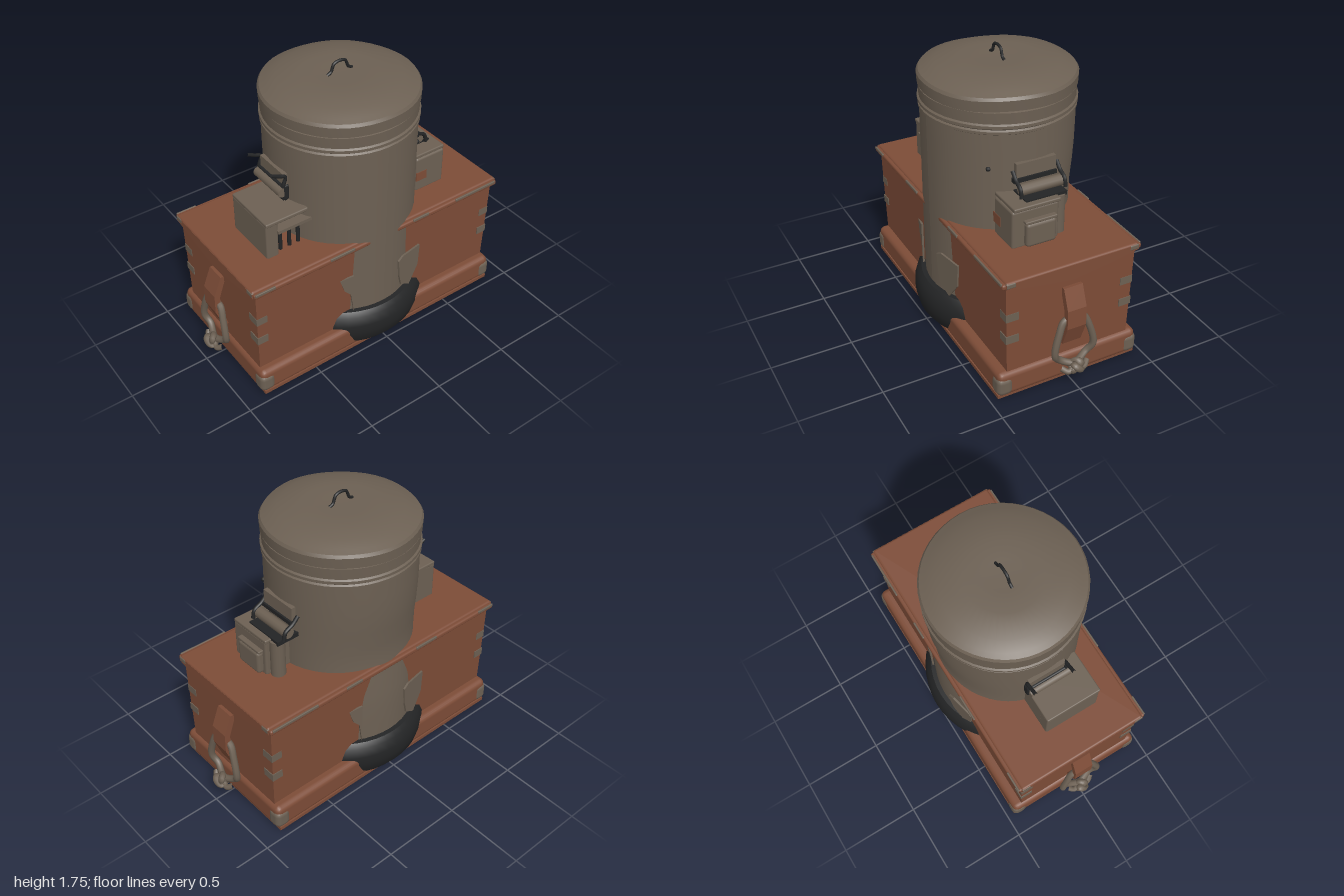
import * as THREE from 'three';
import { toCreasedNormals } from 'three/addons/utils/BufferGeometryUtils.js';
import { RoundedBoxGeometry } from 'three/addons/geometries/RoundedBoxGeometry.js';

const paint = (name, color) => {
  const m = new THREE.MeshStandardMaterial({ color });
  m.name = name;
  return m;
};

export function createModel() {
  const leather = paint('reddish leather', 0x7d4c37);
  const metal = paint('taupe metal', 0x6c6053);
  const rubber = paint('black rubber', 0x232425);
  const model = new THREE.Group();
  model.name = 'binInChest';

  const add = (parent, name, geo, mat, x = 0, y = 0, z = 0) => {
    const mesh = new THREE.Mesh(geo, mat);
    mesh.name = name;
    mesh.position.set(x, y, z);
    parent.add(mesh);
    return mesh;
  };
  const group = (name, parent = model) => {
    const g = new THREE.Group();
    g.name = name;
    parent.add(g);
    return g;
  };
  // Box given by its minimum and maximum corners
  const block = (parent, name, mat, a, b, r = 0) => {
    const s = a.map((v, i) => b[i] - v);
    const geo = r ? new RoundedBoxGeometry(...s, 2, r) : new THREE.BoxGeometry(...s);
    return add(parent, name, geo, mat, ...a.map((v, i) => (v + b[i]) / 2));
  };
  const vec = (pts) => pts.map((p) => new THREE.Vector3(...p));
  const tube = (parent, name, mat, pts, r, closed = false) =>
    add(parent, name, new THREE.TubeGeometry(
      new THREE.CatmullRomCurve3(vec(pts), closed, 'centripetal'), pts.length * 8, r, 8, closed), mat);
  const lathe = (pts, n = 48) => toCreasedNormals(
    new THREE.LatheGeometry(pts.map((p) => new THREE.Vector2(...p)), n), 0.6);
  const plate = (pts, depth) => new THREE.ExtrudeGeometry(
    new THREE.Shape(pts.map((p) => new THREE.Vector2(...p))), { depth, bevelEnabled: false });

  // Chest
  const chest = group('chest');
  block(chest, 'baseSkirt', leather, [-0.88, 0.02, -0.455], [0.88, 0.18, 0.455], 0.035);
  block(chest, 'basePlate', leather, [-0.865, 0.008, -0.455], [0.865, 0.03, 0.455]);
  const bodyGeo = new THREE.BoxGeometry(1.73, 0.6, 0.82);
  const bp = bodyGeo.attributes.position;
  for (let i = 0; i < bp.count; i++) {
    if (bp.getY(i) < 0) bp.setXYZ(i, bp.getX(i) * 0.99, bp.getY(i), bp.getZ(i) * 0.965);
  }
  bodyGeo.computeVertexNormals();
  add(chest, 'chestBody', bodyGeo, leather, 0, 0.47, 0);
  block(chest, 'lidSlab', leather, [-0.89, 0.757, -0.42], [0.89, 0.8, 0.42], 0.015);
  for (const s of [-1, 1]) {
    block(chest, 'lidLip', leather, [-0.885, 0.757, s * 0.425 - 0.015], [0.885, 0.79, s * 0.425 + 0.015], 0.012);
    // Worn strips along the lid edge
    for (const [x0, x1] of [[-0.38, -0.21], [-0.88, -0.75], [0.22, 0.34], [0.55, 0.87]]) {
      block(chest, 'wornLidEdge', metal, [x0, 0.774, s * 0.437 - 0.006], [x1, 0.792, s * 0.437 + 0.006], 0.004);
    }
  }

  // Corner guards and edge clasps
  for (const sx of [-1, 1]) for (const sz of [-1, 1]) {
    const corner = group('chestCorner', chest);
    add(corner, 'cornerGuard', new RoundedBoxGeometry(0.1, 0.125, 0.1, 2, 0.035), metal,
      sx * 0.837, 0.088, sz * 0.412);
    for (const y of [0.4, 0.548]) {
      add(corner, 'edgeClasp', new THREE.BoxGeometry(0.07, 0.05, 0.08), metal,
        sx * 0.83, y, sz * 0.367);
    }
    block(corner, 'wornLidCorner', metal,
      [sx * 0.878 - 0.014, 0.762, sz * 0.39 - 0.03], [sx * 0.878 + 0.014, 0.794, sz * 0.39 + 0.03], 0.008);
  }

  // Chest ends: pointed lid apron, leather strap, rope handle and knot
  for (const s of [-1, 1]) {
    const end = group(s > 0 ? 'leftEnd' : 'rightEnd');
    const apron = add(end, 'lidApron', plate(
      [[-0.42, 0.76], [-0.2, 0.72], [0, 0.692], [0.2, 0.72], [0.42, 0.76], [0.42, 0.79], [-0.42, 0.79]], 0.03),
    leather, 0.86, 0, 0);
    apron.rotation.y = Math.PI / 2;
    add(end, 'strap', plate([[0.85, 0.64], [0.885, 0.645], [0.935, 0.52], [0.938, 0.4], [0.89, 0.27],
      [0.86, 0.27], [0.9, 0.41], [0.9, 0.5]], 0.12), leather, 0, 0, -0.06);
    tube(end, 'ropeHandle', metal, [
      [0.915, 0.45, 0], [0.905, 0.44, 0.06], [0.915, 0.36, 0.1], [0.92, 0.23, 0.125], [0.905, 0.18, 0.09],
      [0.93, 0.145, 0], [0.905, 0.18, -0.09], [0.92, 0.23, -0.125], [0.915, 0.36, -0.1], [0.905, 0.44, -0.06],
    ], 0.021, true);
    const knot = add(end, 'ropeKnot', new THREE.TorusKnotGeometry(0.029, 0.017, 64, 8, 2, 3), metal, 0.952, 0.135, 0);
    knot.scale.set(0.8, 0.85, 1.4);
    knot.rotation.y = s > 0 ? 0 : 0.1;
    for (const z of [-1, 1]) {
      const tail = tube(end, 'ropeTail', metal,
        [[0.93, 0.13, 0], [0.94, 0.11, z * 0.05], [0.915, 0.13, z * 0.085]], 0.018);
      tail.position.x = 0.01;
    }
    end.rotation.y = s > 0 ? 0 : Math.PI;
  }

  // Bin: slightly dented drum, rubber foot and domed lid
  const bin = group('bin');
  const drumGeo = new THREE.LatheGeometry(
    Array.from({ length: 13 }, (_, i) => new THREE.Vector2(0.452, 0.01 + i * 0.1165)), 48);
  const dp = drumGeo.attributes.position;
  for (let i = 0; i < dp.count; i++) {
    const z = dp.getZ(i);
    const dent = 0.035 * Math.exp(-(((dp.getY(i) - 0.85) / 0.22) ** 2));
    if (z < 0) dp.setZ(i, z * (1 - dent / 0.452));
  }
  drumGeo.computeVertexNormals();
  add(bin, 'drum', drumGeo, metal);
  add(bin, 'drumBottom', new THREE.CylinderGeometry(0.45, 0.44, 0.012, 16), metal, 0, 0.006, 0);
  add(bin, 'rubberFoot', lathe([[0.44, 0.012], [0.475, 0.02], [0.505, 0.06], [0.522, 0.13], [0.522, 0.19],
    [0.505, 0.25], [0.48, 0.278], [0.445, 0.28]]), rubber);
  add(bin, 'drumCollar', lathe([[0.445, 1.395], [0.46, 1.405], [0.46, 1.42], [0.45, 1.428], [0.463, 1.438],
    [0.463, 1.455], [0.453, 1.463], [0.456, 1.53], [0.44, 1.535]]), metal);
  const lidGeo = lathe([[0.44, 1.53], [0.46, 1.538], [0.463, 1.6], [0.452, 1.617], [0.42, 1.63],
    [0.36, 1.655], [0.22, 1.675], [0.1, 1.67], [0, 1.668]]);
  const lp = lidGeo.attributes.position;
  for (let i = 0; i < lp.count; i++) {
    const a = Math.atan2(lp.getZ(i), lp.getX(i));
    const r = Math.hypot(lp.getX(i), lp.getZ(i));
    lp.setY(i, lp.getY(i) + 0.006 * r * Math.sin(a * 5) + 0.005 * r * Math.cos(a * 3));
  }
  add(bin, 'binLid', lidGeo, metal);
  tube(bin, 'lidHandle', rubber, [[-0.085, 1.672, 0], [-0.06, 1.685, 0], [-0.035, 1.733, 0],
    [0.035, 1.733, 0], [0.06, 1.685, 0], [0.085, 1.672, 0]], 0.009);
  add(bin, 'rivet', new THREE.SphereGeometry(0.014, 8, 6), rubber, 0.373, 1.19, 0.256);

  // Torn metal flaps where the drum breaks through the chest
  for (const turn of [0, Math.PI]) {
    const flaps = group('tornFlaps');
    const wide = add(flaps, 'wideFlap', plate(
      [[0, 0.54], [0.04, 0.56], [0.2, 0.55], [0.19, 0.4], [0.11, 0.29], [0.03, 0.34], [0.01, 0.42]], 0.012),
    metal, 0.1, 0, 0.452);
    wide.rotation.y = 0.22;
    const narrow = add(flaps, 'narrowFlap', plate(
      [[-0.09, 0.55], [0, 0.56], [0, 0.28], [-0.02, 0.42], [-0.06, 0.46]], 0.012), metal, -0.2, 0, 0.412);
    narrow.rotation.y = -0.2;
    flaps.rotation.y = turn;
  }

  // Pouch box on the left side
  const left = group('leftBox');
  block(left, 'boxBody', metal, [0.4, 0.79, -0.06], [0.615, 1.03, 0.235], 0.015);
  block(left, 'boxLid', metal, [0.39, 1.025, -0.07], [0.62, 1.05, 0.225], 0.008);
  block(left, 'pocket', metal, [0.59, 0.8, -0.03], [0.65, 0.95, 0.16], 0.02);
  block(left, 'pocketFlap', metal, [0.59, 0.945, -0.035], [0.645, 0.965, 0.165], 0.006);
  add(left, 'sideCanister', new THREE.CylinderGeometry(0.045, 0.045, 0.25, 16), metal, 0.55, 0.915, -0.085);
  block(left, 'leatherPatch', leather, [0.4, 0.87, 0.233], [0.48, 0.93, 0.239]);
  block(left, 'boxCradle', rubber, [0.43, 1.03, -0.13], [0.58, 1.058, 0.13]);
  const roll = add(left, 'roll', new THREE.CylinderGeometry(0.034, 0.034, 0.27, 12), metal, 0.505, 1.09, -0.005);
  roll.rotation.x = Math.PI / 2;
  block(left, 'backPlate', metal, [0.44, 1.14, -0.12], [0.468, 1.23, 0.13]);
  block(left, 'backPlateRim', rubber, [0.445, 1.12, -0.12], [0.48, 1.145, 0.15]);
  for (const z of [-0.14, 0.14]) {
    tube(left, 'rollStrap', rubber, [[0.44, 1.18, z], [0.48, 1.14, z], [0.53, 1.11, z], [0.545, 1.06, z]], 0.012);
  }

  // Open-fronted box on the right side
  const right = group('rightBox');
  block(right, 'boxOuterWall', metal, [-0.67, 0.79, -0.12], [-0.59, 1.03, 0.235], 0.012);
  block(right, 'boxRearWall', metal, [-0.6, 0.79, -0.12], [-0.4, 1.03, 0.06]);
  block(right, 'boxLid', metal, [-0.67, 1.02, -0.12], [-0.39, 1.045, 0.24], 0.008);
  block(right, 'boxShadowPanel', rubber, [-0.59, 0.8, 0.06], [-0.4, 0.96, 0.068]);
  block(right, 'boxCanopy', metal, [-0.6, 0.955, 0.05], [-0.37, 0.975, 0.25]);
  for (const x of [-0.56, -0.5, -0.44]) {
    add(right, 'boxBar', new THREE.CylinderGeometry(0.012, 0.012, 0.16, 8), rubber, x, 0.875, 0.2);
  }
  block(right, 'sideBracket', rubber, [-0.485, 1.06, -0.14], [-0.44, 1.16, 0.13], 0.01);
  const roll2 = add(right, 'roll', new THREE.CylinderGeometry(0.03, 0.03, 0.26, 12), metal, -0.485, 1.12, 0);
  roll2.rotation.x = Math.PI / 2;
  for (const z of [-0.13, 0.12]) {
    tube(right, 'bracketArm', rubber, [[-0.46, 1.06, z], [-0.475, 1.15, z], [-0.46, 1.215, z],
      [-0.5, 1.235, z], [-0.55, 1.26, z]], 0.011);
  }
  block(right, 'armPlate', metal, [-0.47, 1.15, -0.12], [-0.445, 1.23, 0.12]);

  return model;
}
